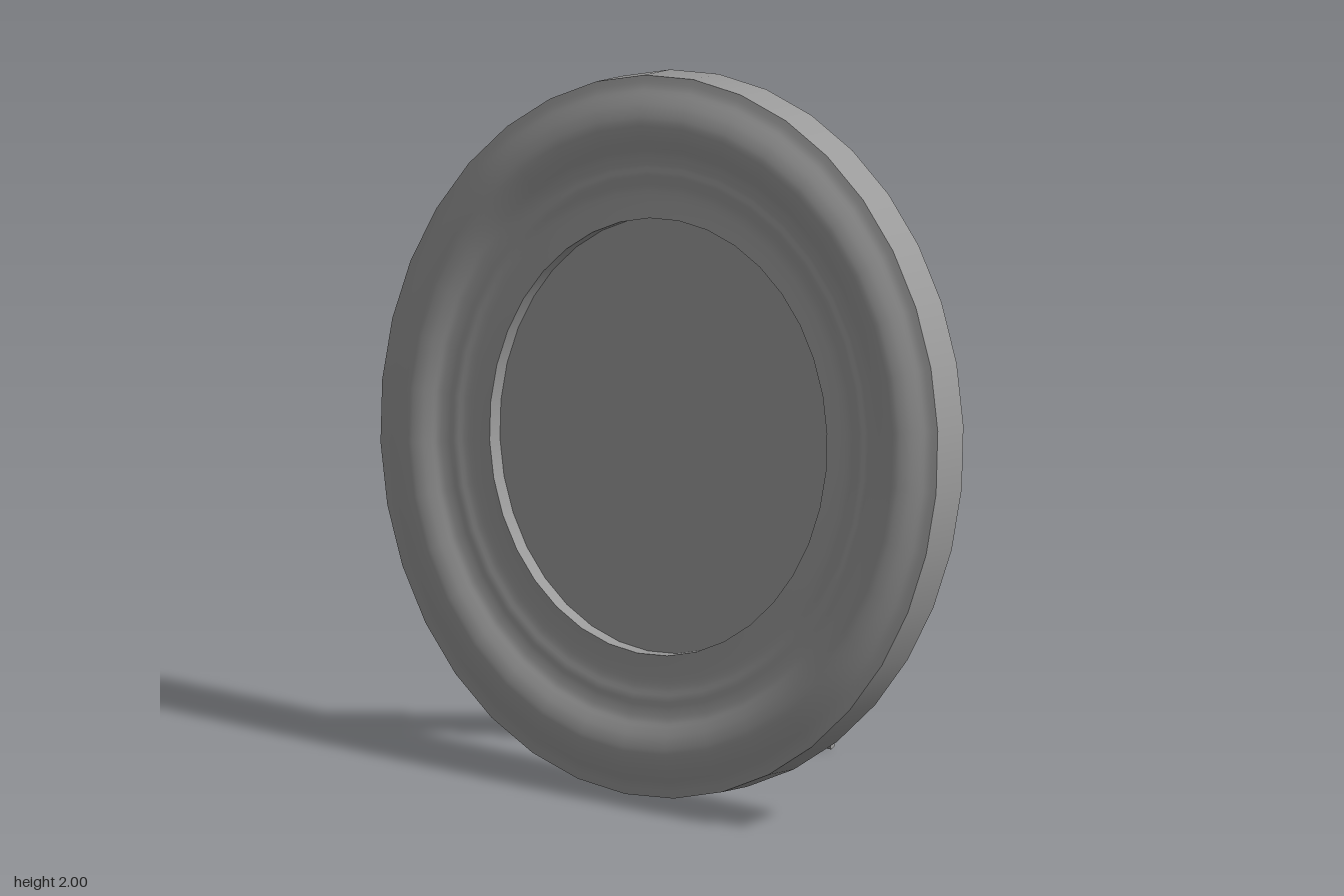
import * as THREE from 'three';

const material = new THREE.MeshStandardMaterial({ color: 0x9a9a9a });
const SEGMENTS = 36;
const HALF_WIDTH = 0.897, HALF_HEIGHT = 1.003; // oval half axes
const TILT = THREE.MathUtils.degToRad(10.07);
const OPENING = 0.605, RIM = 0.135, PANEL = 0.086;

// Turns a [radius, depth] profile into an oval part facing +z
function ovalPart(name, profile) {
  const points = profile.map(([r, d]) => new THREE.Vector2(r, d));
  const geometry = new THREE.LatheGeometry(points, SEGMENTS);
  geometry.rotateX(Math.PI / 2);
  geometry.scale(HALF_WIDTH, HALF_HEIGHT, 1);
  const mesh = new THREE.Mesh(geometry, material);
  mesh.name = name;
  return mesh;
}

export function createModel() {
  const model = new THREE.Group();
  model.name = 'ovalPictureFrame';

  // Leaning oval frame; local z = 0 is the back face
  const frame = new THREE.Group();
  frame.name = 'frame';
  frame.rotation.x = -TILT;
  frame.position.set(0, 0.988, 0.025);
  model.add(frame);

  // Moulded front: rounded outer bead, valley, small inner ridge, flat lip
  const moulding = new THREE.SplineCurve([
    [1, RIM], [0.97, 0.141], [0.94, 0.154], [0.91, 0.165], [0.875, 0.171],
    [0.84, 0.167], [0.81, 0.157], [0.785, 0.147], [0.755, 0.143], [0.725, 0.143],
    [0.695, 0.139], [0.65, 0.139], [OPENING, 0.14],
  ].map(([r, d]) => new THREE.Vector2(r, d)));

  frame.add(
    ovalPart('backPanel', [[0, 0], [1, 0]]),
    ovalPart('outerEdge', [[1, 0], [1, RIM]]),
    ovalPart('frontMoulding', moulding.getPoints(36).map((p) => [p.x, p.y])),
    ovalPart('openingWall', [[OPENING, 0.14], [OPENING, PANEL]]),
    ovalPart('picturePanel', [[OPENING, PANEL], [0, PANEL]]),
  );

  // Tapered easel leg, hinged on the back and widening to the ground
  const length = 1.21, thickness = 0.02;
  const outline = new THREE.Shape([
    new THREE.Vector2(-0.125, 0), new THREE.Vector2(-0.255, -length),
    new THREE.Vector2(0.255, -length), new THREE.Vector2(0.125, 0),
  ]);
  const legGeometry = new THREE.ExtrudeGeometry(outline, { depth: thickness, bevelEnabled: false });
  legGeometry.translate(0, 0, -thickness);
  const leg = new THREE.Mesh(legGeometry, material);
  leg.name = 'easelLeg';
  leg.rotation.x = THREE.MathUtils.degToRad(15.1);
  leg.position.set(0, 1.173, -0.01);
  model.add(leg);

  return model;
}
